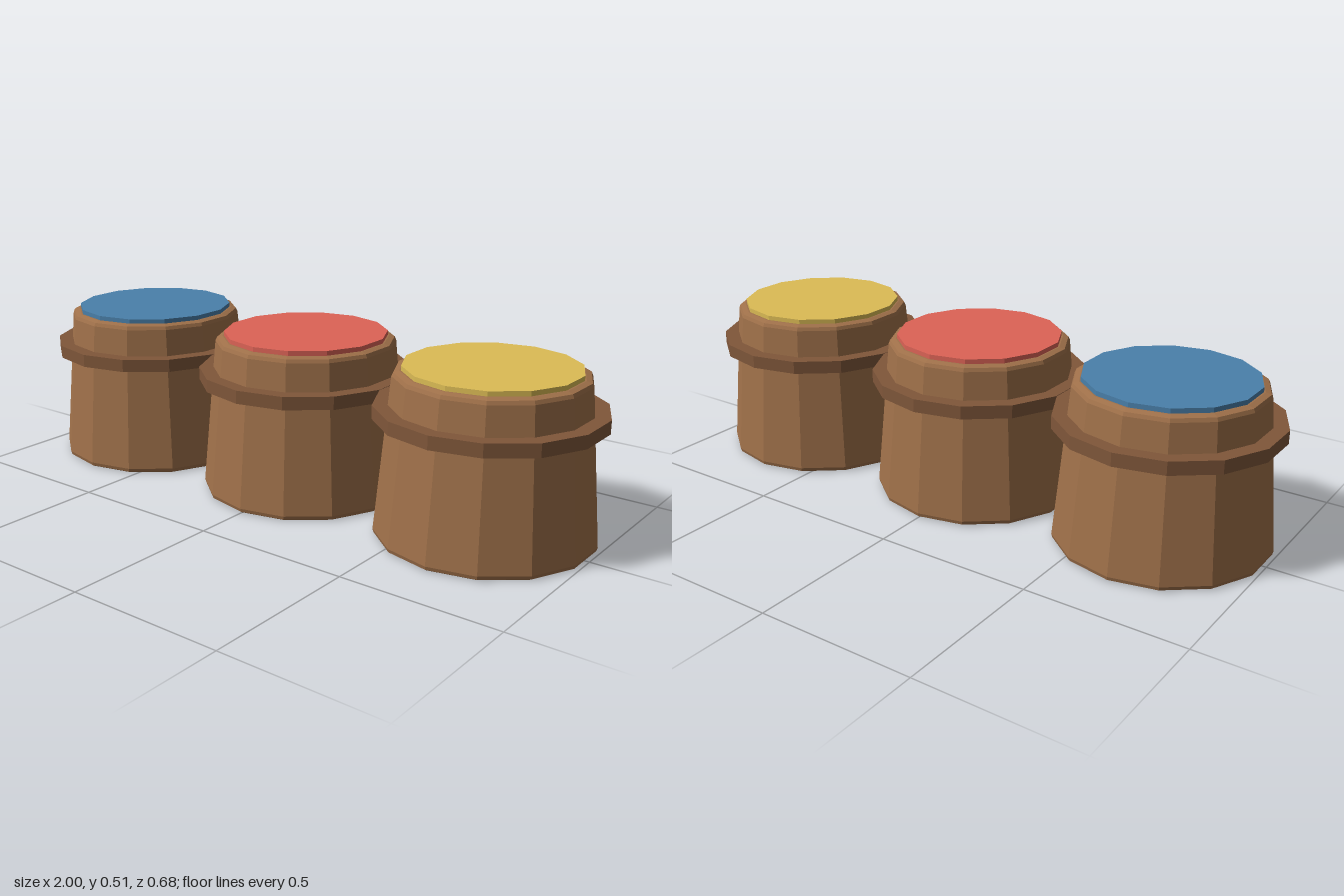
import * as THREE from 'three';

const SIDES = 14;
const SPACING = 0.667;

const flat = (color) => new THREE.MeshStandardMaterial({ color, flatShading: true });

// Tapered shell with softened rims, closed at both ends
const PROFILE = [
  [0, 0], [0.322, 0], [0.329, 0.004], [0.332, 0.015],
  [0.287, 0.484], [0.282, 0.495], [0.265, 0.5], [0, 0.5],
].map(([r, y]) => new THREE.Vector2(r, y));

function part(name, geometry, material, y = 0) {
  const mesh = new THREE.Mesh(geometry, material);
  mesh.name = name;
  mesh.position.y = y;
  return mesh;
}

export function createModel() {
  const model = new THREE.Group();
  model.name = 'tripleDrum';

  const wood = flat(0xa0714a);
  const darkWood = flat(0x80573a);
  const shell = new THREE.LatheGeometry(PROFILE, SIDES);
  const band = new THREE.CylinderGeometry(0.341, 0.341, 0.041, SIDES);
  const skin = new THREE.CylinderGeometry(0.26, 0.26, 0.025, SIDES);

  // Three identical drums in a row, each with its own skin colour
  [0x4a80aa, 0xdd6356, 0xdcbc55].forEach((color, i) => {
    const drum = new THREE.Group();
    drum.name = ['rightDrum', 'middleDrum', 'leftDrum'][i];
    drum.position.x = (i - 1) * SPACING;
    drum.add(
      part('drumShell', shell, wood),
      part('drumBand', band, darkWood, 0.377),
      part('drumSkin', skin, flat(color), 0.502),
    );
    model.add(drum);
  });

  return model;
}
